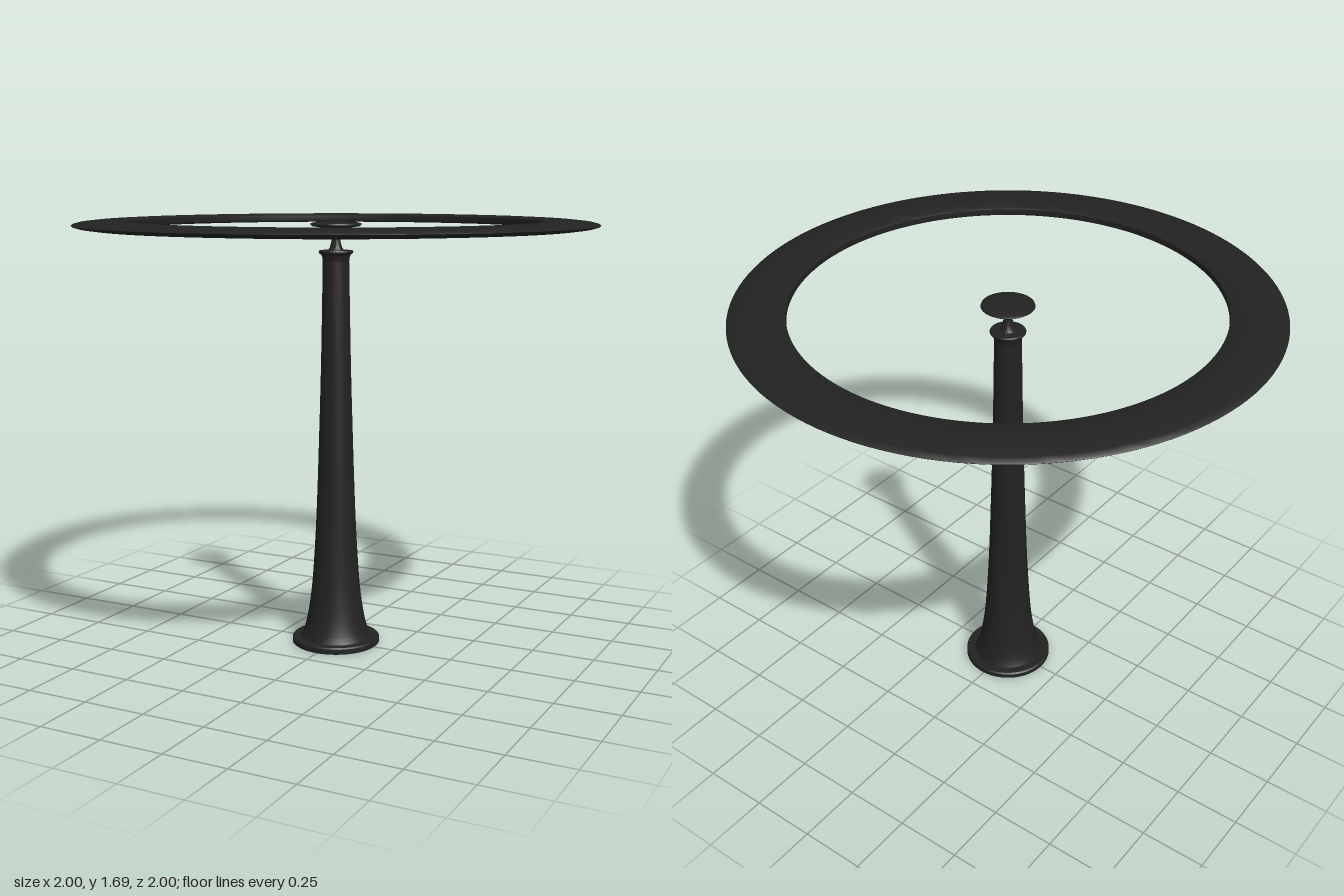
import * as THREE from 'three';
import { toCreasedNormals } from 'three/addons/utils/BufferGeometryUtils.js';

export function createModel() {
  const model = new THREE.Group();
  const dark = new THREE.MeshStandardMaterial({ color: 0x222222 });

  // Revolve a profile of [radius, height] points, listed from bottom to top
  const turned = (name, profile, segments = 64) => {
    const points = profile.map(([r, y]) => new THREE.Vector2(r, y));
    const geometry = toCreasedNormals(new THREE.LatheGeometry(points, segments), 0.6);
    const mesh = new THREE.Mesh(geometry, dark);
    mesh.name = name;
    model.add(mesh);
  };

  // Round foot plate with softened rims
  turned('basePlate', [
    [0, 0], [0.17, 0], [0.175, 0.004], [0.175, 0.022], [0.17, 0.027], [0, 0.027],
  ]);

  // Tapering column flaring into the foot
  const flare = new THREE.SplineCurve([
    [0.14, 0.027], [0.128, 0.055], [0.114, 0.11], [0.1, 0.2], [0.09, 0.31], [0.078, 0.52],
    [0.068, 0.8], [0.058, 1.15], [0.051, 1.535],
  ].map(([r, y]) => new THREE.Vector2(r, y)));
  turned('column', flare.getPoints(40).map((p) => [p.x, p.y]));

  // Moulded collar at the column top
  turned('collar', [
    [0.051, 1.53], [0.053, 1.545], [0.057, 1.556], [0.066, 1.562],
    [0.067, 1.567], [0.064, 1.572], [0.045, 1.573], [0, 1.575],
  ]);

  // Slim concave neck
  turned('neck', [
    [0.032, 1.572], [0.024, 1.583], [0.019, 1.6], [0.015, 1.625], [0.012, 1.645], [0.012, 1.668],
  ], 32);

  // Small domed disc carried by the neck
  turned('topDisc', [
    [0, 1.656], [0.05, 1.658], [0.09, 1.664], [0.099, 1.67],
    [0.097, 1.675], [0.08, 1.68], [0.04, 1.683], [0, 1.684],
  ]);

  // Wide flat ring with a steep inner wall and a thin tapered outer rim
  turned('ring', [
    [0.79, 1.67], [0.791, 1.66], [0.8, 1.655], [0.87, 1.653], [0.93, 1.656], [0.975, 1.662],
    [0.996, 1.668], [1, 1.672], [0.996, 1.676], [0.975, 1.682], [0.93, 1.687], [0.87, 1.69],
    [0.8, 1.688], [0.791, 1.683], [0.79, 1.67],
  ], 128);

  return model;
}
